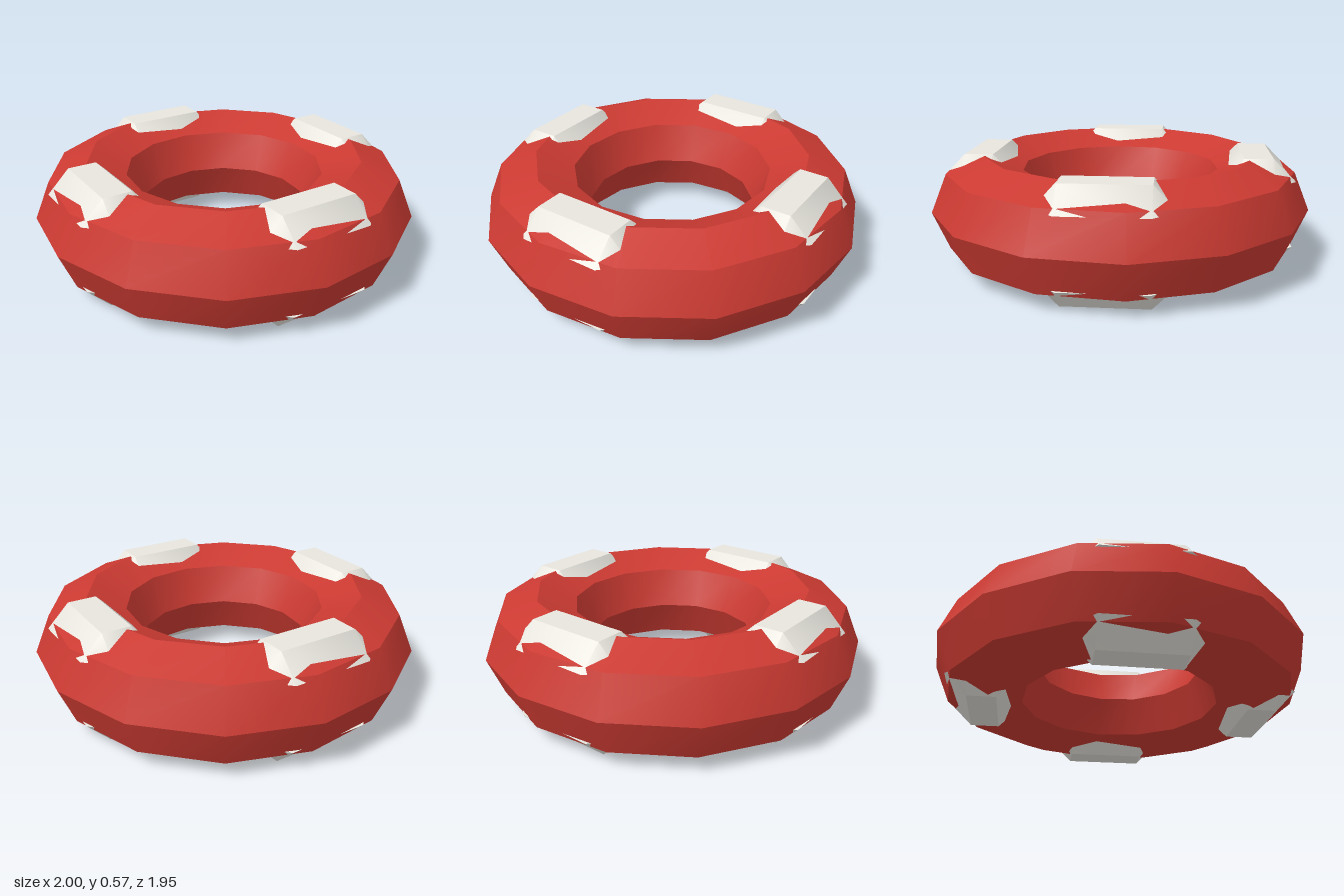
import * as THREE from 'three';
import { toCreasedNormals } from 'three/addons/utils/BufferGeometryUtils.js';
import { ConvexGeometry } from 'three/addons/geometries/ConvexGeometry.js';

const MID_Y = 0.287; // height of the ring's centre plane
const PAD_R = 0.715; // distance of the pads from the axis

// Chamfered pad: flat rectangular top, sloping sides and clipped corners.
// x is radial, z runs along the ring.
function padGeometry() {
  const halfW = 0.074, halfL = 0.21, top = 0.287, drop = 0.115;
  const points = [];
  for (const sx of [-1, 1]) {
    for (const sz of [-1, 1]) {
      points.push(
        new THREE.Vector3(sx * halfW, top, sz * halfL),
        new THREE.Vector3(sx * (halfW + drop), top - drop, sz * halfL),
        new THREE.Vector3(sx * halfW, top - drop, sz * (halfL + drop))
      );
    }
  }
  return toCreasedNormals(new ConvexGeometry(points), 0.7);
}

export function createModel() {
  const model = new THREE.Group();
  model.name = 'lifebuoy';
  const red = new THREE.MeshStandardMaterial({ color: 0xcb3a32 });
  red.name = 'red';
  const white = new THREE.MeshStandardMaterial({ color: 0xf0eee6 });
  white.name = 'white';

  // Eight-sided ring with sharp edges along its length
  const torus = new THREE.TorusGeometry(0.72, 0.28, 8, 14).rotateX(-Math.PI / 2);
  const ring = new THREE.Mesh(toCreasedNormals(torus, 0.6), red);
  ring.name = 'floatRing';
  ring.position.y = MID_Y;
  model.add(ring);

  // Four bands, each showing as a pad above and below the ring
  const geometry = padGeometry();
  for (let i = 0; i < 4; i++) {
    const band = new THREE.Group();
    band.name = 'band' + (i + 1);
    band.position.y = MID_Y;
    band.rotation.y = Math.PI / 4 + (i * Math.PI) / 2;
    for (const name of ['upperPad', 'lowerPad']) {
      const pad = new THREE.Mesh(geometry, white);
      pad.name = name;
      pad.position.x = PAD_R;
      if (name === 'lowerPad') pad.rotation.x = Math.PI;
      band.add(pad);
    }
    model.add(band);
  }
  return model;
}
